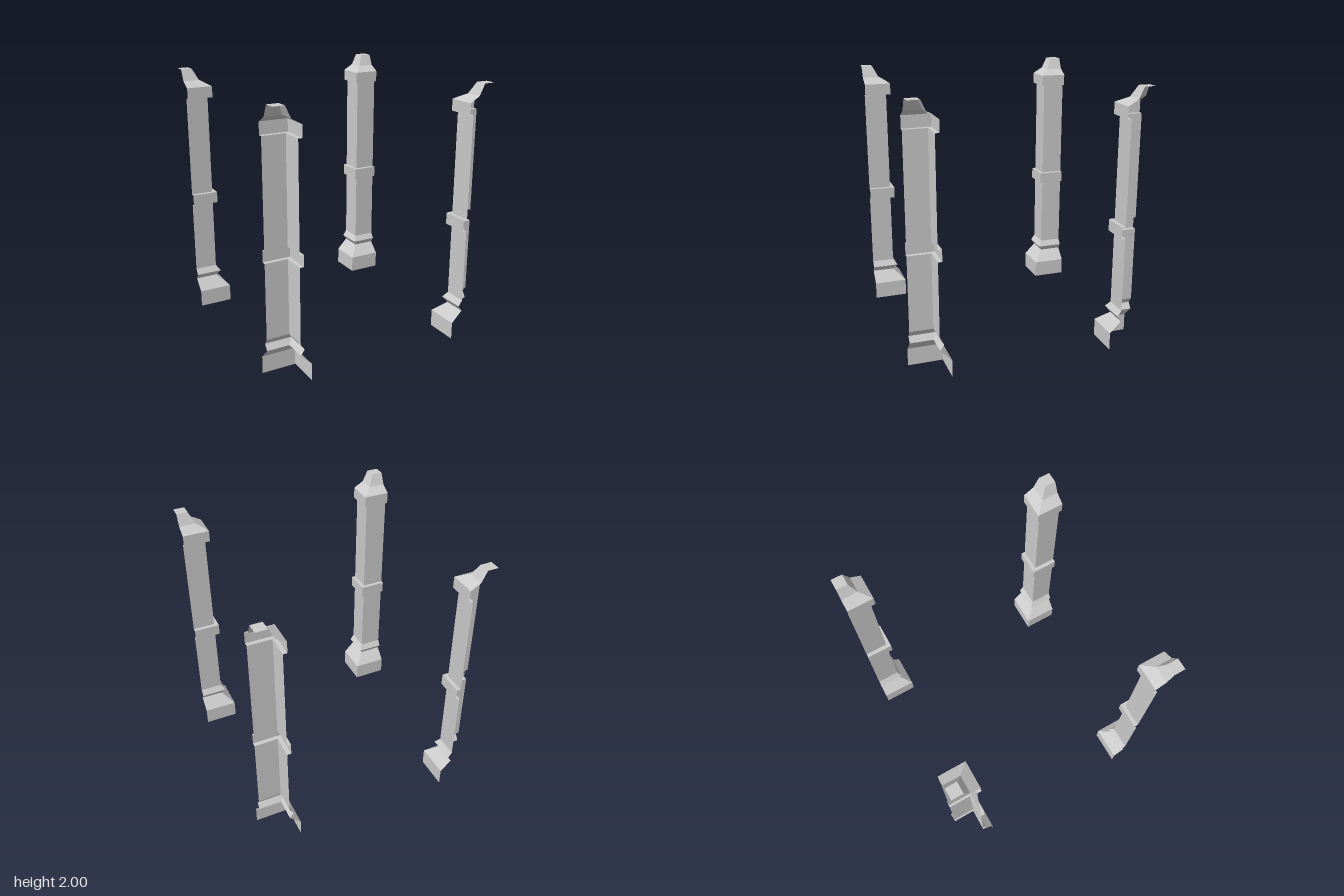
import * as THREE from 'three';

const HALF = 0.885; // distance from the centre to the outer edges

// Depth from the outer corner, and height, for each part of a corner pillar
const PARTS = {
  base: [[0.264, 0], [0.264, 0.135], [0.177, 0.222], [0.208, 0.266], [0.177, 0.311]],
  lowerShaft: [[0.177, 0.311], [0.177, 0.889]],
  middleBand: [[0.177, 0.889], [0.208, 0.889], [0.208, 0.979], [0.177, 0.979]],
  upperShaft: [[0.177, 0.979], [0.177, 1.778]],
  topBand: [[0.177, 1.778], [0.208, 1.778], [0.208, 1.868]],
  cap: [[0.208, 1.868], [0.13, 1.913], [0.088, 2], [0, 2]],
};

const material = new THREE.MeshStandardMaterial({
  color: 0xcccccc, flatShading: true, side: THREE.DoubleSide,
});

// Sweeps a profile along the two inward sides of a square corner, mitred on the diagonal
function cornerSheet(profile) {
  const positions = [];
  const quad = (a, b, c, d, pointed) => {
    positions.push(...a, ...b, ...c);
    if (!pointed) positions.push(...a, ...c, ...d);
  };
  for (let i = 0; i < profile.length - 1; i++) {
    const [d0, y0] = profile[i];
    const [d1, y1] = profile[i + 1];
    const pointed = d1 === 0;
    quad([0, y0, d0], [d0, y0, d0], [d1, y1, d1], [0, y1, d1], pointed);
    quad([d0, y0, d0], [d0, y0, 0], [d1, y1, 0], [d1, y1, d1], pointed);
  }
  const geometry = new THREE.BufferGeometry();
  geometry.setAttribute('position', new THREE.Float32BufferAttribute(positions, 3));
  geometry.translate(-HALF, 0, -HALF);
  geometry.computeVertexNormals();
  return geometry;
}

export function createModel() {
  const model = new THREE.Group();
  model.name = 'cornerPillars';
  const geometries = Object.entries(PARTS).map(([name, profile]) => [name, cornerSheet(profile)]);

  // One pillar in each corner, open on its outer sides
  const names = ['backRightPillar', 'frontRightPillar', 'frontLeftPillar', 'backLeftPillar'];
  names.forEach((pillarName, i) => {
    const pillar = new THREE.Group();
    pillar.name = pillarName;
    for (const [name, geometry] of geometries) {
      const mesh = new THREE.Mesh(geometry, material);
      mesh.name = name;
      pillar.add(mesh);
    }
    pillar.rotation.y = i * Math.PI / 2;
    model.add(pillar);
  });
  return model;
}
